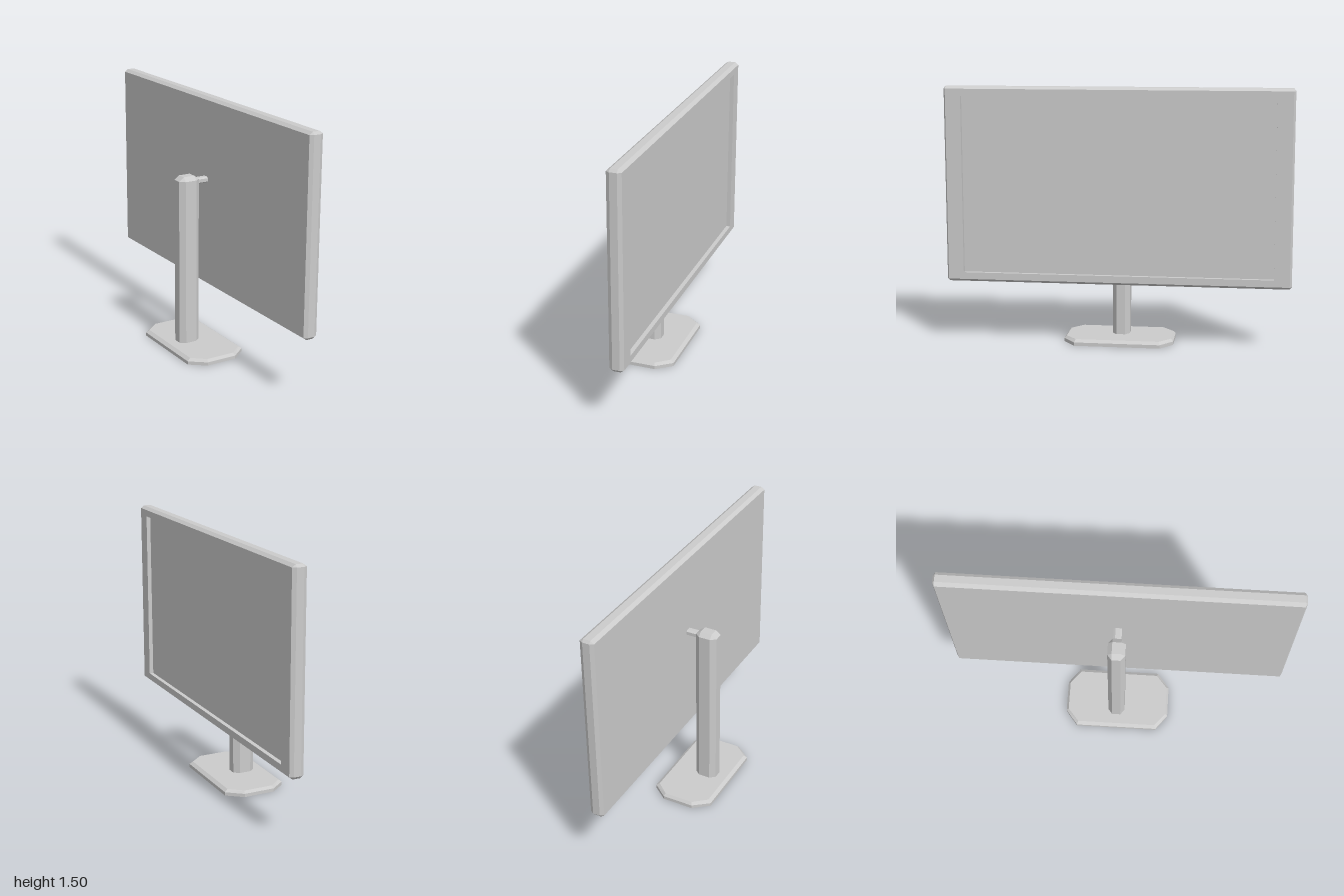
import * as THREE from 'three';

const material = new THREE.MeshStandardMaterial({ color: 0xcccccc, flatShading: true });

// Rectangle with cut corners at height t: centre, half sizes and corner cuts
function section(t, cu, cv, hu, hv, bu = 0, bv = 0) {
  const p = [
    [hu, -hv + bv], [hu, hv - bv], [hu - bu, hv], [-hu + bu, hv],
    [-hu, hv - bv], [-hu, -hv + bv], [-hu + bu, -hv], [hu - bu, -hv],
  ];
  return p.map(([u, v]) => [cu + u, cv + v, t]);
}

// Skin over sections; axis 'x' maps (u, v, t) to (y, z, x), axis 'y' to (z, x, y)
function loft(name, axis, sections, capEnd = true) {
  const place = ([u, v, t]) => axis === 'x' ? new THREE.Vector3(t, u, v) : new THREE.Vector3(v, t, u);
  const rings = sections.map(s => s.map(place));
  const points = [];
  const tri = (a, b, c) => {
    if (new THREE.Triangle(a, b, c).getArea() > 1e-9) points.push(a, b, c);
  };
  for (let r = 0; r < rings.length - 1; r++) {
    const lo = rings[r], hi = rings[r + 1];
    for (let i = 0; i < 8; i++) {
      const j = (i + 1) % 8;
      tri(lo[i], lo[j], hi[j]);
      tri(lo[i], hi[j], hi[i]);
    }
  }
  const first = rings[0], last = rings[rings.length - 1];
  for (let i = 1; i < 7; i++) {
    tri(first[0], first[i + 1], first[i]);
    if (capEnd) tri(last[0], last[i], last[i + 1]);
  }
  const geometry = new THREE.BufferGeometry().setFromPoints(points);
  geometry.computeVertexNormals();
  const mesh = new THREE.Mesh(geometry, material);
  mesh.name = name;
  return mesh;
}

export function createModel() {
  const group = new THREE.Group();
  group.name = 'monitor';

  // Foot: flat plate with large cut corners and a bevelled upper rim
  group.add(loft('base', 'y', [
    section(0, -0.002, 0, 0.321, 0.186, 0.072, 0.092),
    section(0.02, -0.002, 0, 0.321, 0.186, 0.072, 0.092),
    section(0.035, -0.002, 0, 0.308, 0.166, 0.066, 0.078),
  ]));

  // Upright column with a bevelled top
  group.add(loft('column', 'y', [
    section(0.01, -0.006, -0.041, 0.051, 0.066, 0.025, 0.031),
    section(1.032, -0.006, -0.041, 0.051, 0.066, 0.025, 0.031),
    section(1.055, -0.006, -0.041, 0.026, 0.035),
  ]));

  // Short arm joining the column to the display
  group.add(loft('arm', 'x', [
    section(0, 1.016, -0.006, 0.017, 0.024, 0.007, 0.011),
    section(0.1, 1.016, -0.006, 0.017, 0.024, 0.007, 0.011),
  ]));

  // Display housing: bevelled slab, front bezel and recess walls
  const midY = 0.931, screenX = 0.147;
  group.add(loft('displayHousing', 'x', [
    section(0.088, midY, 0, 0.554, 0.988),
    section(0.109, midY, 0, 0.569, 1, 0.015, 0.012),
    section(0.151, midY, 0, 0.569, 1, 0.015, 0.012),
    section(0.172, midY, 0, 0.554, 0.988),
    section(0.172, midY, 0, 0.514, 0.899),
    section(screenX, midY, 0, 0.514, 0.899),
  ], false));

  // Sunken screen, facing +x
  const screen = new THREE.Mesh(new THREE.PlaneGeometry(1.798, 1.028), material);
  screen.name = 'screen';
  screen.rotation.y = Math.PI / 2;
  screen.position.set(screenX, midY, 0);
  group.add(screen);

  return group;
}
